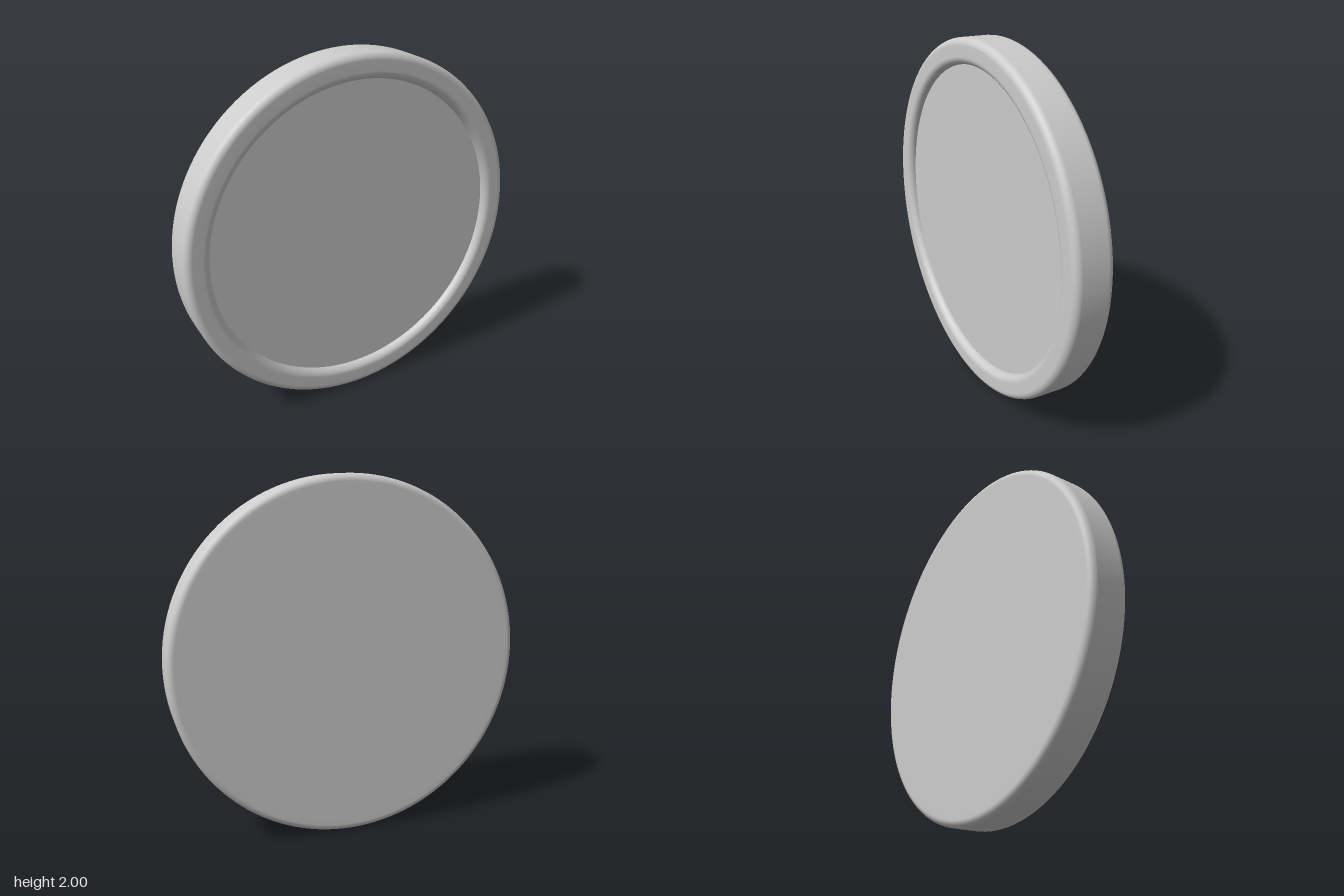
import * as THREE from 'three';

const R = 1, HALF = 0.112;          // outer radius, half thickness
const INNER = 0.86, FLOOR = 0.07;   // recess radius and floor height
const OUTER_ROUND = 0.04, LIP_ROUND = HALF - FLOOR;
const SEGMENTS = 128;

// Points of a quarter-circle corner, swept from angle a0 by 90 degrees
function corner(cx, cy, r, a0, steps = 8) {
  return Array.from({ length: steps + 1 }, (_, i) => {
    const a = a0 + (i / steps) * Math.PI / 2;
    return new THREE.Vector2(cx + r * Math.cos(a), cy + r * Math.sin(a));
  });
}

export function createModel() {
  const group = new THREE.Group();
  group.name = 'disc';
  const material = new THREE.MeshStandardMaterial({ color: 0xcccccc });

  // Flat back, rounded side wall and raised front rim in one profile
  const edge = R - OUTER_ROUND, h = HALF - OUTER_ROUND;
  const profile = [
    new THREE.Vector2(0, -HALF),
    new THREE.Vector2(edge - 0.03, -HALF),
    ...corner(edge, -h, OUTER_ROUND, -Math.PI / 2),
    ...corner(edge, h, OUTER_ROUND, 0),
    ...corner(INNER + LIP_ROUND, FLOOR, LIP_ROUND, Math.PI / 2),
  ];
  const body = new THREE.Mesh(
    new THREE.LatheGeometry(profile, SEGMENTS).rotateX(Math.PI / 2), material);
  body.name = 'bodyAndRim';

  // Recessed front face
  const face = new THREE.Mesh(
    new THREE.CircleGeometry(INNER, SEGMENTS).translate(0, 0, FLOOR), material);
  face.name = 'recessedFace';

  group.add(body, face);
  group.children.forEach((part) => { part.position.y = R; });
  return group;
}
